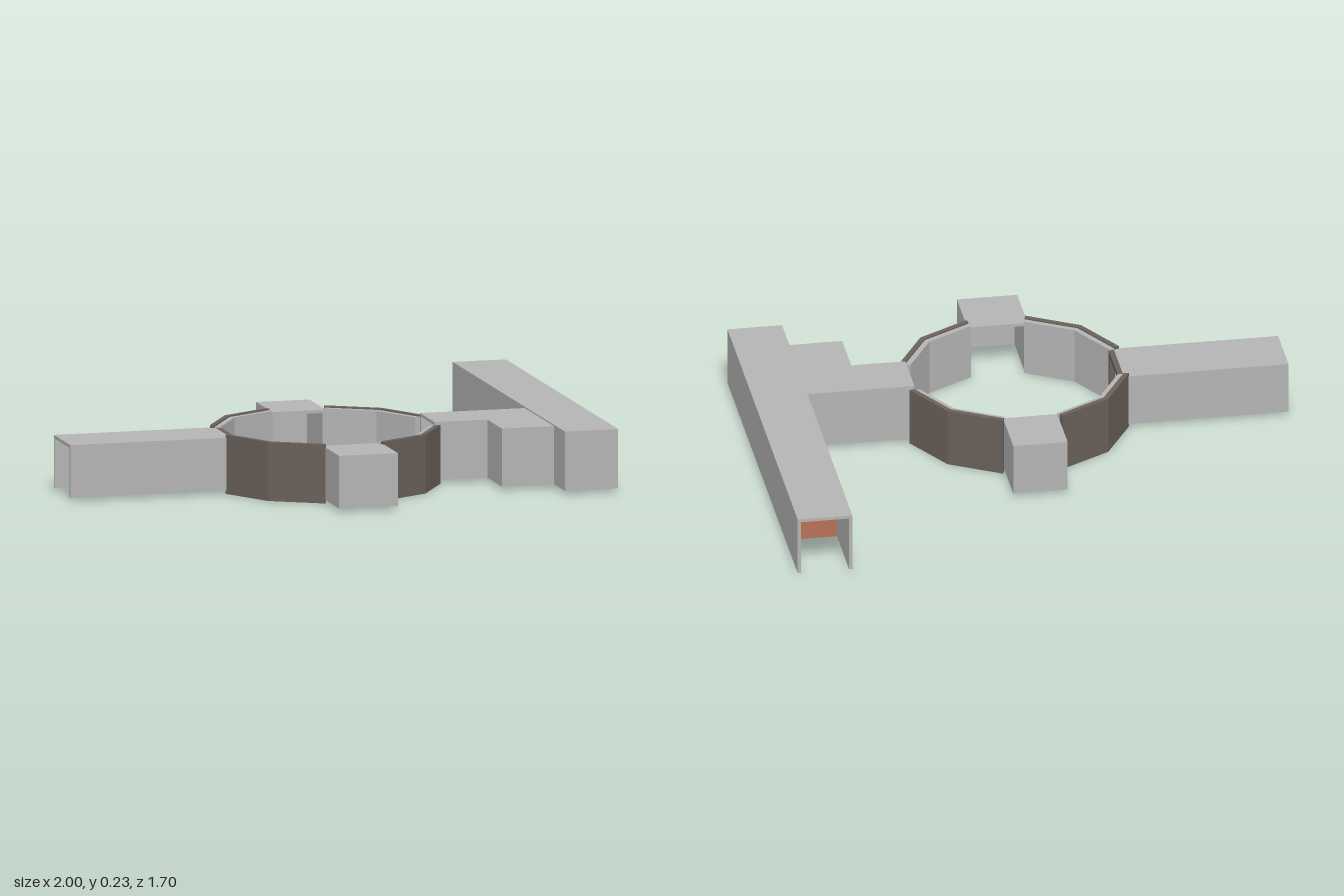
import * as THREE from 'three';

const grey = new THREE.MeshStandardMaterial({ color: 0xb4b4b4 });
grey.name = 'panel grey';
const brown = new THREE.MeshStandardMaterial({ color: 0x6a615a });
brown.name = 'dark brown';
const red = new THREE.MeshStandardMaterial({ color: 0xb87058 });
red.name = 'brick red';

const T = 0.012; // panel thickness
const CENTRE = { x: 0.005, z: 0.25 };

// box given by its limits on each axis
function block(parent, name, material, x0, x1, y0, y1, z0, z1) {
  const mesh = new THREE.Mesh(new THREE.BoxGeometry(x1 - x0, y1 - y0, z1 - z0), material);
  mesh.position.set((x0 + x1) / 2, (y0 + y1) / 2, (z0 + z1) / 2);
  mesh.name = name;
  parent.add(mesh);
}

// hollow passage without a floor; sides lists the closed walls
function passage(parent, name, x0, x1, z0, z1, top, sides) {
  const group = new THREE.Group();
  group.name = name;
  const y0 = 0.013;
  const y1 = top - T;
  block(group, 'roof', grey, x0, x1, y1, top, z0, z1);
  const walls = {
    left: [x1 - T, x1, z0, z1],
    right: [x0, x0 + T, z0, z1],
    front: [x0, x1, z1 - T, z1],
    back: [x0, x1, z0, z0 + T],
  };
  for (const side of sides) {
    const [a, b, c, d] = walls[side];
    block(group, side + 'Wall', grey, a, b, y0, y1, c, d);
  }
  parent.add(group);
}

// two straight facets of ring wall between neighbouring openings
function ringWall(parent, name, material, quarter, outer, inner, y0, y1) {
  const angles = [15, 45, 75].map((a) => THREE.MathUtils.degToRad(a + quarter * 90));
  const at = (a, r) => new THREE.Vector2(CENTRE.x + r * Math.cos(a), CENTRE.z + r * Math.sin(a));
  const shape = new THREE.Shape([
    ...angles.map((a) => at(a, outer)),
    ...angles.slice().reverse().map((a) => at(a, inner)),
  ]);
  const geometry = new THREE.ExtrudeGeometry(shape, { depth: y1 - y0, bevelEnabled: false });
  geometry.rotateX(Math.PI / 2).translate(0, y1, 0);
  const mesh = new THREE.Mesh(geometry, material);
  mesh.name = name;
  parent.add(mesh);
}

export function createModel() {
  const model = new THREE.Group();
  model.name = 'ringAndPassages';

  // twelve-sided ring, open at its four passages
  const ring = new THREE.Group();
  ring.name = 'ring';
  for (let q = 0; q < 4; q++) {
    ringWall(ring, 'outerWall', brown, q, 0.425, 0.405, 0, 0.22);
    ringWall(ring, 'innerWall', grey, q, 0.405, 0.384, 0.003, 0.215);
  }
  model.add(ring);

  // door frame towards the right passage
  const frame = new THREE.Group();
  frame.name = 'doorFrame';
  block(frame, 'lintel', brown, -0.385, -0.365, 0.19, 0.21, 0.145, 0.355);
  block(frame, 'backJamb', brown, -0.385, -0.365, 0.003, 0.19, 0.145, 0.165);
  block(frame, 'frontJamb', brown, -0.385, -0.365, 0.003, 0.19, 0.335, 0.355);
  model.add(frame);

  // passages and alcoves around the ring
  passage(model, 'rightPassage', -1, -0.385, 0.133, 0.363, 0.21, ['front', 'back']);
  passage(model, 'backAlcove', -0.093, 0.11, -0.35, -0.122, 0.21, ['left', 'right', 'back']);
  passage(model, 'frontAlcove', -0.107, 0.118, 0.62, 0.85, 0.21, ['left', 'right', 'front']);
  passage(model, 'leftPassage', 0.395, 0.796, 0.15, 0.352, 0.23, ['front', 'back']);
  passage(model, 'sideRoom', 0.597, 0.796, 0.352, 0.552, 0.23, ['right', 'front']);

  // long hall with its partitions
  passage(model, 'longHall', 0.796, 1, -0.85, 0.705, 0.235, ['left', 'right', 'front']);
  for (const z of [0.14, -0.22, -0.58]) {
    block(model, 'partition', red, 0.796 + T, 1 - T, 0.015, 0.235 - T, z - 0.004, z + 0.004);
  }
  return model;
}
